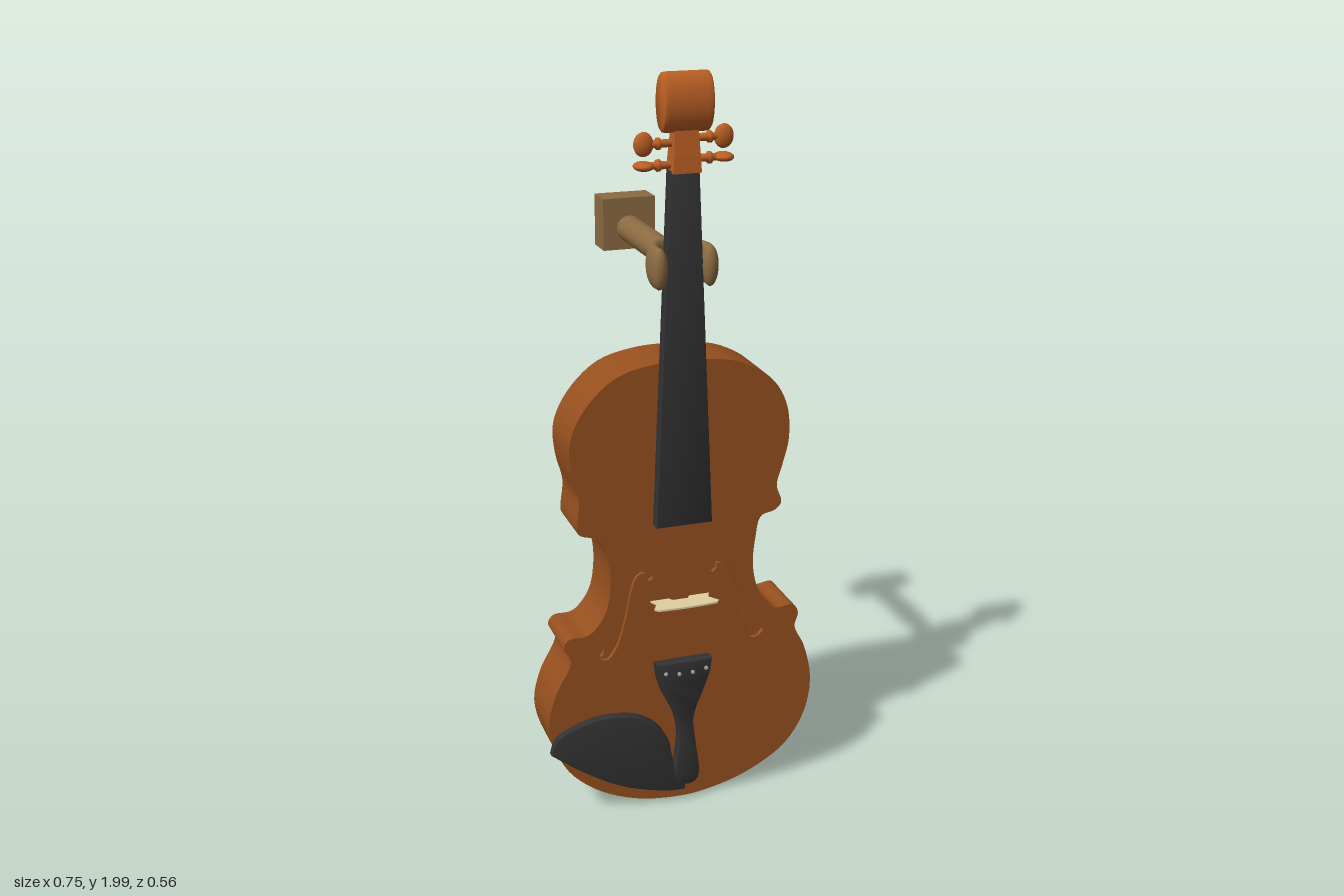
import * as THREE from 'three';
import { toCreasedNormals } from 'three/addons/utils/BufferGeometryUtils.js';

const paint = (color) => new THREE.MeshStandardMaterial({ color });
const CX = -0.015; // centre line of neck, scroll and hanger

const v2 = (pts) => pts.map(([x, y]) => new THREE.Vector2(x, y));

// Smooth closed outline through a few points
function outline(pts, n) {
  const curve = new THREE.CatmullRomCurve3(pts.map(([x, y]) => new THREE.Vector3(x, y, 0)), true);
  return new THREE.Shape(curve.getPoints(n).slice(0, -1).map((p) => new THREE.Vector2(p.x, p.y)));
}

// Slab between two depths
function slab(shape, z0, z1, bevel = 0) {
  const g = new THREE.ExtrudeGeometry(shape, {
    depth: z1 - z0 - bevel, bevelEnabled: bevel > 0, bevelThickness: bevel,
    bevelSize: bevel, bevelOffset: -bevel, bevelSegments: 2,
  });
  g.translate(0, 0, z0);
  return toCreasedNormals(g, 0.6);
}

// Closed ribbon around a curved centre line, wide at its two eyes
function soundHole(side) {
  const mid = [[0.083, 0.682], [0.098, 0.705], [0.122, 0.70], [0.145, 0.65], [0.165, 0.57],
    [0.183, 0.50], [0.208, 0.468], [0.228, 0.478], [0.222, 0.502]];
  const curve = new THREE.CatmullRomCurve3(mid.map(([x, y]) => new THREE.Vector3(x, y, 0)));
  const a = [], b = [], n = 48;
  for (let i = 0; i <= n; i++) {
    const t = i / n, p = curve.getPointAt(t), d = curve.getTangentAt(t);
    const e = Math.min(t, 1 - t);
    const eye = e < 0.08 ? 0.011 * Math.sqrt(Math.max(0, 1 - ((e - 0.035) / 0.045) ** 2)) : 0;
    const w = Math.max(0.003 + 0.006 * Math.sin(Math.PI * t) ** 4, eye);
    a.push(new THREE.Vector2(CX + 0.006 + side * (p.x - d.y * w), p.y + d.x * w));
    b.unshift(new THREE.Vector2(CX + 0.006 + side * (p.x + d.y * w), p.y - d.x * w));
  }
  return new THREE.Path([...a, ...b]);
}

export function createModel() {
  const model = new THREE.Group();
  const wood = paint(0x97501f), lightWood = paint(0xbb5f24), black = paint(0x333333);
  const tan = paint(0x8c6b43), cream = paint(0xdfcfa0), grey = paint(0x999999);

  const add = (name, geometry, material, parent = model) => {
    const mesh = new THREE.Mesh(geometry, material);
    mesh.name = name;
    parent.add(mesh);
    return mesh;
  };

  // Body: deep slab with a top plate pierced by the sound holes
  const bodyPoints = [
    [0, 0.008], [0.09, 0.018], [0.195, 0.05], [0.3, 0.115], [0.357, 0.205], [0.374, 0.31],
    [0.352, 0.415], [0.322, 0.48], [0.331, 0.52], [0.315, 0.547], [0.26, 0.545], [0.215, 0.6],
    [0.195, 0.68], [0.2, 0.76], [0.215, 0.822], [0.255, 0.835], [0.272, 0.855], [0.258, 0.905],
    [0.272, 0.96], [0.289, 1.035], [0.28, 1.13], [0.235, 1.205], [0.14, 1.26], [0.03, 1.275],
    [-0.09, 1.273], [-0.19, 1.245], [-0.27, 1.17], [-0.307, 1.09], [-0.304, 1.01], [-0.285, 0.93],
    [-0.291, 0.865], [-0.288, 0.837], [-0.237, 0.815], [-0.21, 0.76], [-0.204, 0.68], [-0.22, 0.6],
    [-0.265, 0.547], [-0.32, 0.541], [-0.334, 0.517], [-0.314, 0.48], [-0.36, 0.38], [-0.378, 0.285],
    [-0.335, 0.16], [-0.255, 0.08], [-0.135, 0.025]];
  add('bodyShell', slab(outline(bodyPoints, 220), 0.055, 0.2), wood);
  const plate = outline(bodyPoints, 220);
  plate.holes.push(soundHole(1), soundHole(-1));
  add('topPlate', slab(plate, 0.2, 0.213), wood);

  // Tapered fingerboard that also serves as the neck
  const board = new THREE.Shape(v2([[-0.088, 0.84], [0.064, 0.84], [0.021, 1.765], [-0.053, 1.765]]));
  add('fingerboard', slab(board, 0.215, 0.248, 0.003), black);

  // Tailpiece, with a row of small string studs
  const tail = new THREE.Shape();
  tail.moveTo(-0.087, 0.44);
  tail.lineTo(-0.082, 0.4);
  tail.splineThru(v2([[-0.068, 0.355], [-0.032, 0.275], [-0.022, 0.2], [-0.034, 0.105], [-0.022, 0.07],
    [0.005, 0.06], [0.03, 0.072], [0.037, 0.105], [0.026, 0.19], [0.02, 0.27], [0.05, 0.355], [0.066, 0.4]]));
  tail.lineTo(0.071, 0.44);
  add('tailpiece', slab(tail, 0.213, 0.243, 0.004), black);
  for (let i = 0; i < 4; i++) {
    const stud = add('stringStud', new THREE.SphereGeometry(0.006, 10, 8), grey);
    stud.position.set(-0.062 + i * 0.038, i % 3 ? 0.408 : 0.414, 0.247);
  }

  // Chin rest, its face sloping down towards the rim
  const rest = new THREE.Shape();
  rest.moveTo(-0.378, 0.215);
  rest.splineThru(v2([[-0.36, 0.26], [-0.3, 0.29], [-0.23, 0.304], [-0.15, 0.295], [-0.09, 0.262],
    [-0.053, 0.21], [-0.041, 0.15], [-0.03, 0.1], [-0.004, 0.07]]));
  rest.lineTo(-0.004, 0.045);
  rest.splineThru(v2([[-0.07, 0.052], [-0.18, 0.085], [-0.28, 0.142], [-0.378, 0.215]]));
  const restGeo = slab(rest, 0.212, 0.242, 0.004);
  const rp = restGeo.attributes.position;
  for (let i = 0; i < rp.count; i++) {
    const slope = THREE.MathUtils.clamp((rp.getX(i) + 0.378) / 0.3, 0, 1);
    rp.setZ(i, 0.212 + (rp.getZ(i) - 0.212) * (0.66 + 0.34 * slope));
  }
  add('chinRest', toCreasedNormals(restGeo, 0.6), black);

  // Thin bridge standing off the top plate
  const bridge = new THREE.Shape(v2([[-0.095, 0.212], [-0.045, 0.212], [-0.035, 0.225], [0.005, 0.225],
    [0.015, 0.212], [0.07, 0.212], [0.06, 0.235], [0.08, 0.262], [0.072, 0.272]]));
  bridge.quadraticCurveTo(CX, 0.28, -0.09, 0.272);
  bridge.lineTo(-0.1, 0.262);
  bridge.lineTo(-0.085, 0.235);
  const bridgeGeo = new THREE.ExtrudeGeometry(bridge, { depth: 0.005, bevelEnabled: false });
  bridgeGeo.rotateX(Math.PI / 2).translate(0, 0.62, 0);
  add('bridge', bridgeGeo, cream);

  // Head: pegbox, oval scroll and pegs
  const head = new THREE.Group();
  head.name = 'head';
  model.add(head);
  const side = new THREE.Shape(v2([[0.207, 1.76], [0.262, 1.76], [0.26, 1.8], [0.252, 1.885],
    [0.222, 1.885], [0.21, 1.8]]));
  const boxGeo = new THREE.ExtrudeGeometry(side, { depth: 0.072, bevelEnabled: false });
  boxGeo.rotateY(-Math.PI / 2).translate(0.036, 0, 0); // profile depth turns to +z, width to -x
  const bp = boxGeo.attributes.position;
  for (let i = 0; i < bp.count; i++) {
    const k = 1 - 0.2 * (bp.getY(i) - 1.76) / 0.125;
    bp.setX(i, CX + bp.getX(i) * k);
  }
  boxGeo.computeVertexNormals();
  add('pegbox', boxGeo, lightWood, head);

  const scrollProfile = v2([[0, -0.062], [0.9, -0.062], [0.98, -0.058], [1, -0.05],
    [1, 0.05], [0.98, 0.058], [0.9, 0.062], [0, 0.062]]);
  const scrollGeo = toCreasedNormals(new THREE.LatheGeometry(scrollProfile, 40), 0.6);
  scrollGeo.rotateZ(Math.PI / 2).scale(1, 0.072, 0.039);
  add('scroll', scrollGeo, lightWood, head).position.set(CX, 1.928, 0.24);

  const pegProfile = v2([[0, 0], [0.009, 0], [0.01, 0.05], [0.015, 0.055], [0.015, 0.062],
    [0.009, 0.068], [0.009, 0.085], [0, 0.09]]);
  for (const [dir, y, flat] of [[-1, 1.83, false], [1, 1.84, false], [-1, 1.778, true], [1, 1.79, true]]) {
    const peg = new THREE.Group();
    peg.name = 'peg';
    add('pegShaft', new THREE.LatheGeometry(pegProfile, 16), lightWood, peg);
    const knob = add('pegHead', new THREE.SphereGeometry(1, 20, 14), lightWood, peg);
    knob.position.y = 0.095;
    knob.scale.set(flat ? 0.012 : 0.03, 0.025, flat ? 0.031 : 0.014);
    peg.rotation.z = -dir * Math.PI / 2;
    peg.position.set(CX + dir * 0.007, y, 0.232);
    head.add(peg);
  }

  // Wall hanger: mounting block, rod and horseshoe fork around the neck
  const hanger = new THREE.Group();
  hanger.name = 'wallHanger';
  hanger.position.set(CX, 1.526, 0);
  model.add(hanger);
  add('mountingBlock', new THREE.BoxGeometry(0.145, 0.14, 0.08), tan, hanger).position.set(0, 0.013, -0.24);

  const rodProfile = v2([[0.035, -0.205], [0.035, 0.02], [0.033, 0.06], [0.026, 0.095], [0.027, 0.115], [0.02, 0.14], [0, 0.145]]);
  add('rod', new THREE.LatheGeometry(rodProfile, 28).rotateX(Math.PI / 2), tan, hanger);

  const arch = new THREE.CatmullRomCurve3([[-0.066, 0.245], [-0.067, 0.215], [-0.052, 0.168], [-0.027, 0.143], [0, 0.136],
    [0.027, 0.143], [0.052, 0.168], [0.067, 0.215], [0.066, 0.245]].map(([x, z]) => new THREE.Vector3(x, 0, z)));
  add('fork', new THREE.TubeGeometry(arch, 48, 0.021, 20).scale(1, 2.5, 1), tan, hanger);
  for (const s of [-1, 1]) {
    const tip = add('forkTip', new THREE.SphereGeometry(0.021, 20, 14), tan, hanger);
    tip.scale.y = 2.5;
    tip.position.set(s * 0.066, 0, 0.245);
  }
  return model;
}
